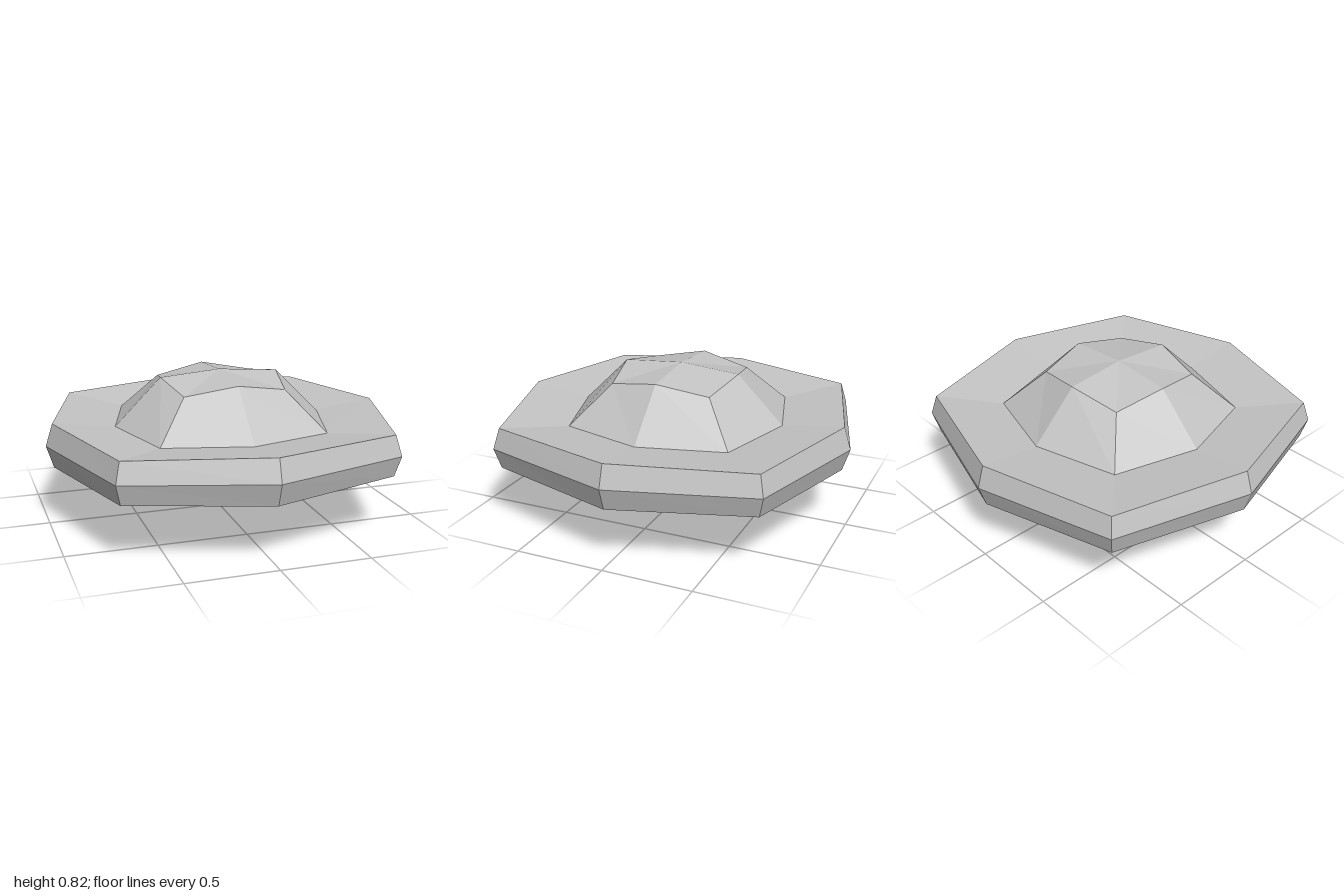
import * as THREE from 'three';

// Each ring of eight points: [distance on axes, x and z at corners, y on axes, y at corners]
const MID = 0.45;
const TOP = [0, 0, 0.82, 0.82];
const SHOULDER = [0.345, 0.29, 0.793, 0.742];
const SEAM = [0.61, 0.472, 0.53, 0.525];
const RIM = [0.96, 0.745, 0.575, 0.565];
const EDGE = [1, 0.772, MID, MID];
const BOTTOM = [0, 0, 0, 0];
const flip = ([a, c, ya, yc]) => [a, c, 2 * MID - ya, 2 * MID - yc];

function ringPoint([a, c, ya, yc], k) {
  if (k % 2 === 0) {
    const t = k * Math.PI / 4;
    return [a * Math.cos(t), ya, -a * Math.sin(t)];
  }
  const t = k * Math.PI / 4;
  return [c * Math.sign(Math.cos(t)), yc, -c * Math.sign(Math.sin(t))];
}

// Joins rings, listed from top to bottom, with flat facets
function loft(name, rings, material) {
  const pos = [];
  for (let i = 0; i < rings.length - 1; i++) {
    for (let k = 0; k < 8; k++) {
      const p = ringPoint(rings[i], k), q = ringPoint(rings[i + 1], k);
      const r = ringPoint(rings[i + 1], k + 1), s = ringPoint(rings[i], k + 1);
      if (rings[i + 1][0] > 0) pos.push(...p, ...q, ...r);
      if (rings[i][0] > 0) pos.push(...p, ...r, ...s);
    }
  }
  const geometry = new THREE.BufferGeometry();
  geometry.setAttribute('position', new THREE.Float32BufferAttribute(pos, 3));
  geometry.computeVertexNormals();
  const mesh = new THREE.Mesh(geometry, material);
  mesh.name = name;
  return mesh;
}

export function createModel() {
  const grey = new THREE.MeshStandardMaterial({ color: 0xc4c4c4, flatShading: true });
  grey.name = 'grey';

  const group = new THREE.Group();
  group.name = 'saucer';
  group.add(
    // faceted dome above the disc
    loft('upperDome', [TOP, SHOULDER, SEAM], grey),
    // dished disc with a bevelled edge
    loft('disc', [SEAM, RIM, EDGE, flip(RIM), flip(SEAM)], grey),
    // pointed dome below the disc
    loft('lowerDome', [flip(SEAM), flip(SHOULDER), BOTTOM], grey)
  );
  return group;
}
